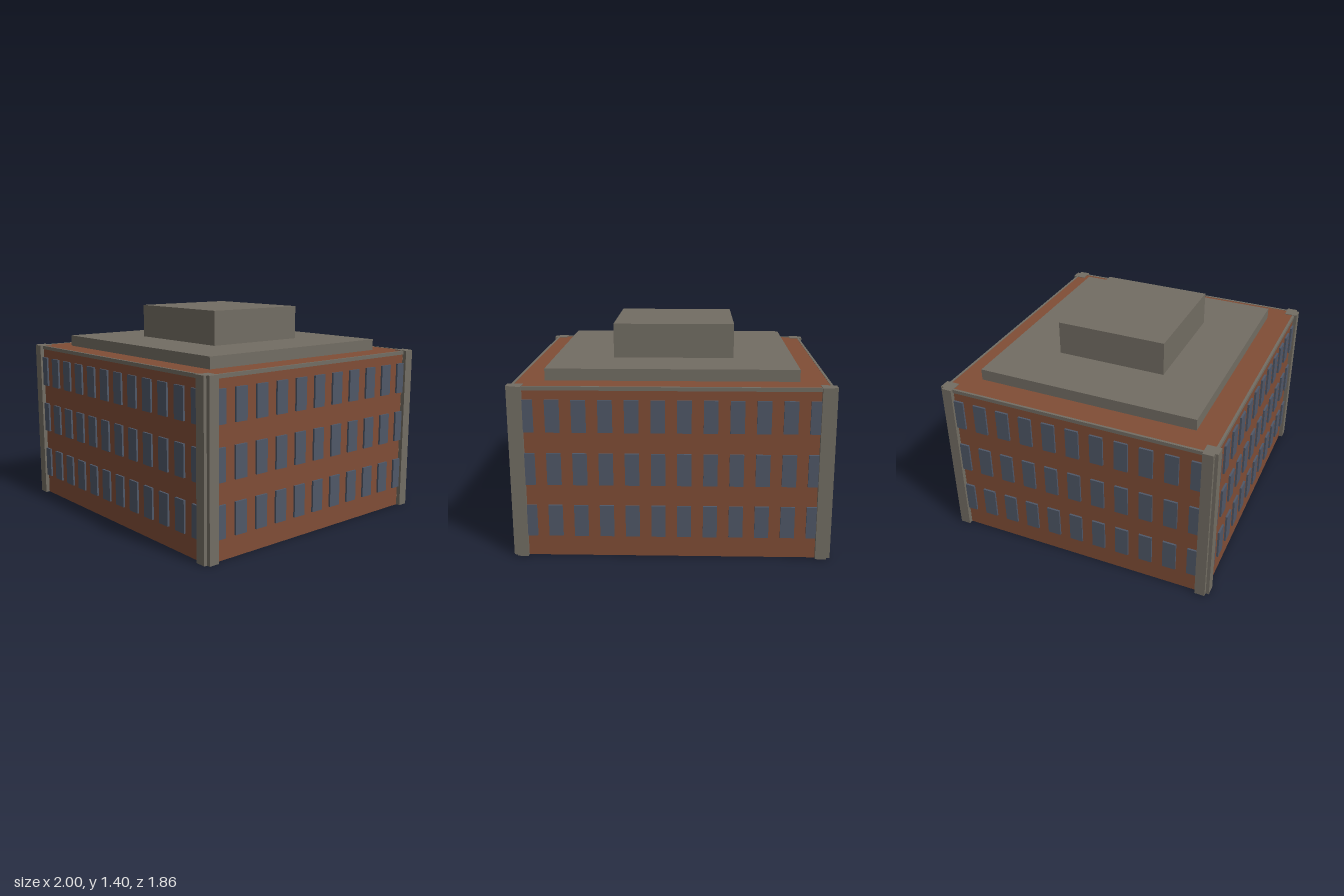
import * as THREE from 'three';

const mat = (name, color) => {
  const m = new THREE.MeshStandardMaterial({ color });
  m.name = name;
  return m;
};

export function createModel() {
  const brick = mat('brick', 0x804d36);
  const stone = mat('stone', 0x726d63);
  const glass = mat('glass', 0x4f5767);
  const model = new THREE.Group();
  model.name = 'building';

  // Box given by centre x/z, bottom y and size
  const box = (name, material, parent, x, y, z, w, h, d) => {
    const mesh = new THREE.Mesh(new THREE.BoxGeometry(w, h, d), material);
    mesh.name = name;
    mesh.position.set(x, y + h / 2, z);
    parent.add(mesh);
    return mesh;
  };

  const X = 0.972, Z = 0.902, H = 1.1; // wall half sizes and height

  // Brick body, stepped roof
  box('walls', brick, model, 0, 0, 0, X * 2, H, Z * 2);
  box('roofSlab', stone, model, 0, H, 0, 1.586, 0.075, 1.47);
  box('penthouse', stone, model, 0, 1.175, 0, 0.792, 0.225, 0.736);

  // Thin cornice strips round the top of the walls
  const cornice = new THREE.Group();
  cornice.name = 'cornice';
  model.add(cornice);
  for (const s of [-1, 1]) {
    box('corniceLong', stone, cornice, 0, 1.078, s * Z, X * 2 + 0.016, 0.024, 0.016);
    box('corniceSide', stone, cornice, s * X, 1.078, 0, 0.016, 0.024, Z * 2 + 0.016);
  }

  // Notched corner pilasters, one strip on each face
  for (const sx of [-1, 1]) for (const sz of [-1, 1]) {
    const corner = new THREE.Group();
    corner.name = 'cornerPilaster';
    model.add(corner);
    box('pilasterFront', stone, corner, sx * 0.94, 0, sz * 0.884, 0.07, 1.104, 0.09);
    box('pilasterSide', stone, corner, sx * 0.955, 0, sz * 0.874, 0.09, 1.104, 0.068);
  }

  // Three rows of windows on all four walls
  const windows = new THREE.Group();
  windows.name = 'windows';
  model.add(windows);
  const w = 0.088, h = 0.205, t = 0.026;
  for (const y of [0.135, 0.475, 0.814]) for (const s of [-1, 1]) {
    for (let i = 0; i < 12; i++)
      box('window', glass, windows, (i - 5.5) * 0.1612, y, s * Z, w, h, t);
    for (let i = 0; i < 11; i++)
      box('window', glass, windows, s * X, y, (i - 5) * 0.1635, t, h, w);
  }
  return model;
}
